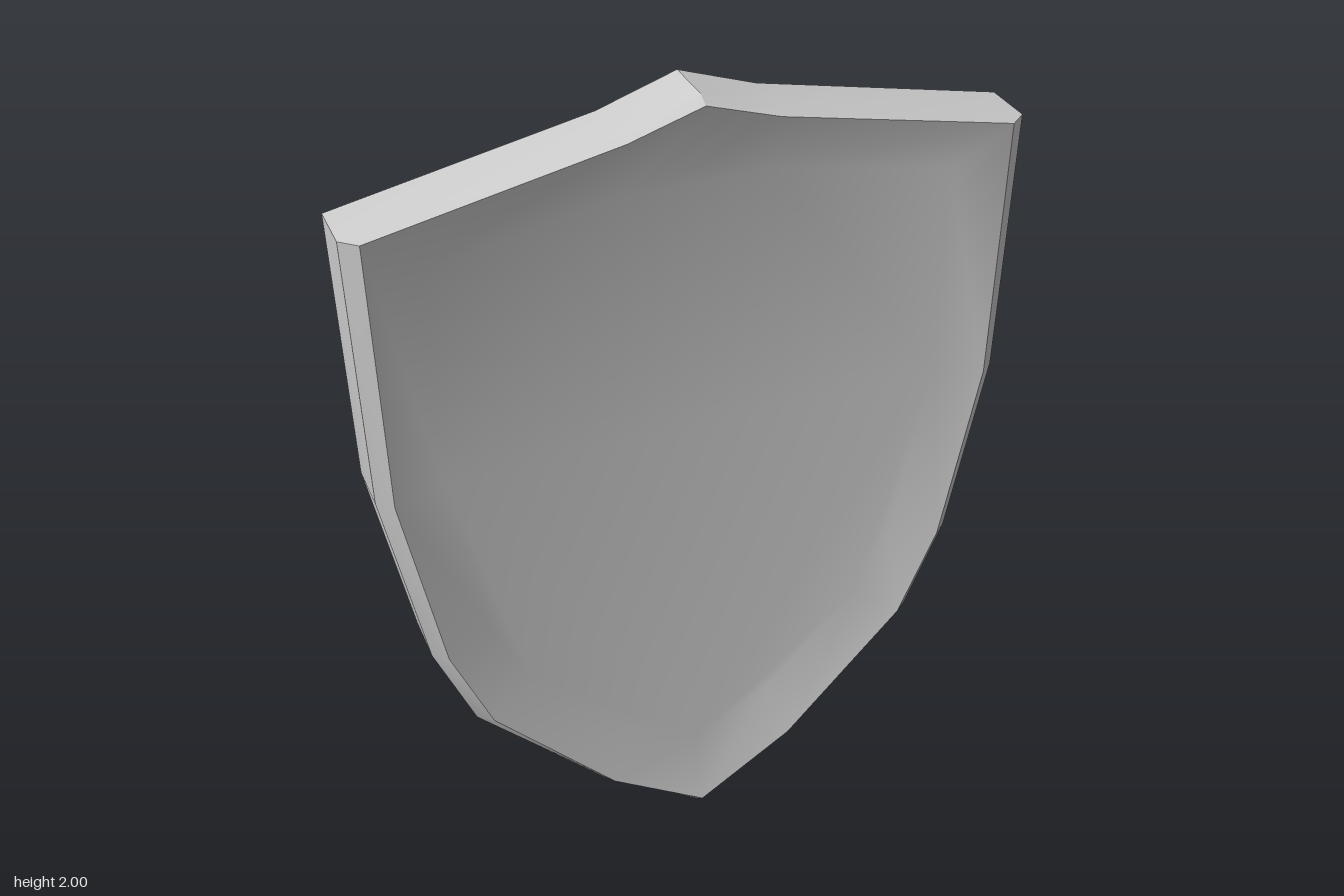
import * as THREE from 'three';
import { toCreasedNormals } from 'three/addons/utils/BufferGeometryUtils.js';

// Half outlines from the top peak to the bottom tip (right half)
const OUTER = [[0, 2], [0.18, 1.94], [0.765, 1.82], [0.752, 1.18], [0.665, 0.72], [0.572, 0.495], [0.262, 0.18], [0, 0]];
const BACK = [[0, 1.995], [0.178, 1.935], [0.757, 1.816], [0.744, 1.18], [0.657, 0.722], [0.565, 0.5], [0.257, 0.185], [0, 0.01]];
const RIM = [[0, 1.985], [0.17, 1.932], [0.727, 1.818], [0.717, 1.18], [0.632, 0.722], [0.538, 0.498], [0.24, 0.183], [0, 0.03]];
const FIELD = [[0, 1.835], [0.17, 1.8], [0.6, 1.72], [0.595, 1.19], [0.515, 0.75], [0.43, 0.57], [0.19, 0.33], [0, 0.22]];

// Mirrors a half outline into a closed loop, counterclockwise from the front
function ring(half, z) {
  const left = half.map(([x, y]) => new THREE.Vector3(-x, y, z));
  const right = half.slice(1, -1).reverse().map(([x, y]) => new THREE.Vector3(x, y, z));
  return [...left, ...right];
}

// Joins consecutive rings with quads
function loft(rings) {
  const out = [];
  for (let r = 0; r < rings.length - 1; r++) {
    const a = rings[r], b = rings[r + 1], n = a.length;
    for (let i = 0; i < n; i++) {
      const j = (i + 1) % n;
      out.push(a[i], a[j], b[j], a[i], b[j], b[i]);
    }
  }
  return out;
}

// Fills a ring, facing front or back
function cap(points, front) {
  const flat = points.map((p) => new THREE.Vector2(p.x, p.y));
  return THREE.ShapeUtils.triangulateShape(flat, []).flatMap(([a, b, c]) =>
    (front ? [a, b, c] : [a, c, b]).map((i) => points[i]));
}

function build(points, name, material) {
  const geometry = new THREE.BufferGeometry().setFromPoints(points);
  const mesh = new THREE.Mesh(toCreasedNormals(geometry, 0.38), material);
  mesh.name = name;
  return mesh;
}

export function createModel() {
  const group = new THREE.Group();
  group.name = 'shield';
  const steel = new THREE.MeshStandardMaterial({ color: 0xcccccc });
  steel.name = 'plain grey';

  const back = ring(BACK, -0.083);
  const rim = ring(RIM, 0.083);
  const field = ring(FIELD, 0.048);

  // Flat back, bevelled edge band, and dished front
  group.add(build(cap(back, false), 'backPlate', steel));
  group.add(build(loft([back, ring(OUTER, -0.073), ring(OUTER, 0.053), rim]), 'edgeBand', steel));
  group.add(build([...loft([rim, field]), ...cap(field, true)], 'dishedFront', steel));
  return group;
}
